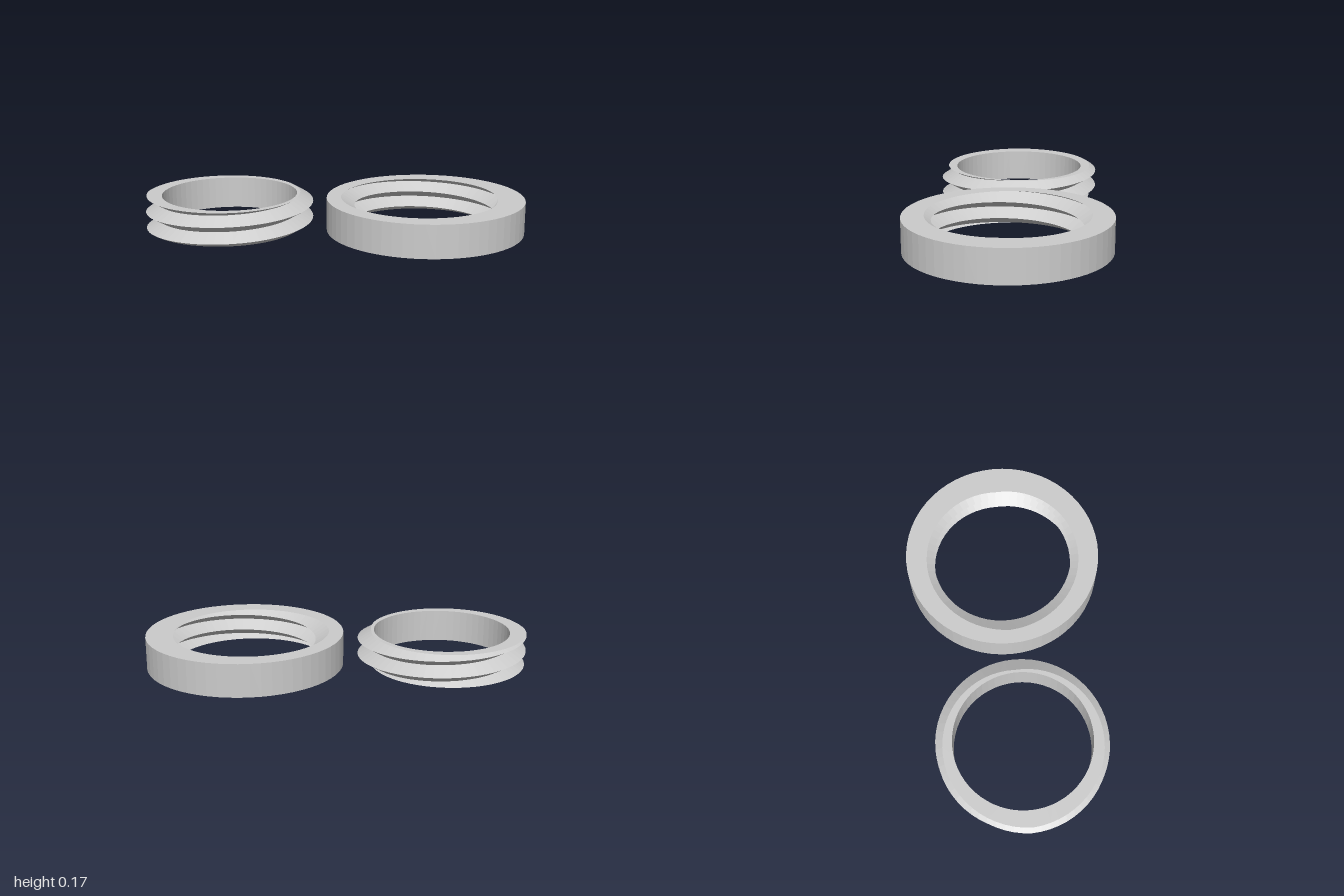
import * as THREE from 'three';

const SEGMENTS = 60;
const PITCH = 0.086;
const HEIGHT = 2 * PITCH; // two full turns of thread
const ROOT = 0.372;
const CREST = 0.444;

// V-thread radius at a given turn fraction and height
function threadRadius(turn, y) {
  const phase = y / PITCH - turn;
  const f = phase - Math.floor(phase);
  return ROOT + (CREST - ROOT) * Math.abs(1 - 2 * f);
}

// Cross-section at a turn fraction: thread edges clipped to the ring's height,
// closed by a plain wall of the given radius
function section(turn, wallRadius) {
  const points = [[wallRadius, 0]];
  for (let j = -2; j <= 4; j++) {
    const y = THREE.MathUtils.clamp(PITCH * (turn + j / 2), 0, HEIGHT);
    points.push([threadRadius(turn, y), y]);
  }
  points.push([wallRadius, HEIGHT], [wallRadius, 0]);
  const angle = turn * Math.PI * 2 - Math.PI;
  return points.map(([r, y]) =>
    new THREE.Vector3(r * Math.cos(angle), y, -r * Math.sin(angle)));
}

// Right-handed threaded ring; the wall lies inside or outside the thread
function threadedRing(name, wallRadius, x) {
  const flip = wallRadius > CREST;
  const positions = [];
  const triangle = (a, b, c) => {
    if (new THREE.Triangle(a, b, c).getArea() < 1e-8) return;
    for (const p of flip ? [a, c, b] : [a, b, c]) positions.push(p.x, p.y, p.z);
  };
  for (let i = 0; i < SEGMENTS; i++) {
    const s0 = section(i / SEGMENTS, wallRadius);
    const s1 = section((i + 1) / SEGMENTS, wallRadius);
    for (let k = 0; k < s0.length - 1; k++) {
      triangle(s0[k], s1[k], s1[k + 1]);
      triangle(s0[k], s1[k + 1], s0[k + 1]);
    }
  }
  const geometry = new THREE.BufferGeometry();
  geometry.setAttribute('position', new THREE.Float32BufferAttribute(positions, 3));
  geometry.computeVertexNormals();
  const material = new THREE.MeshStandardMaterial({ color: 0xcccccc, flatShading: true });
  const mesh = new THREE.Mesh(geometry, material);
  mesh.name = name;
  mesh.position.x = x;
  return mesh;
}

export function createModel() {
  const group = new THREE.Group();
  group.name = 'threadedRings';
  group.add(
    threadedRing('externalThreadRing', 0.358, -0.556),
    threadedRing('internalThreadRing', 0.518, 0.482),
  );
  return group;
}
